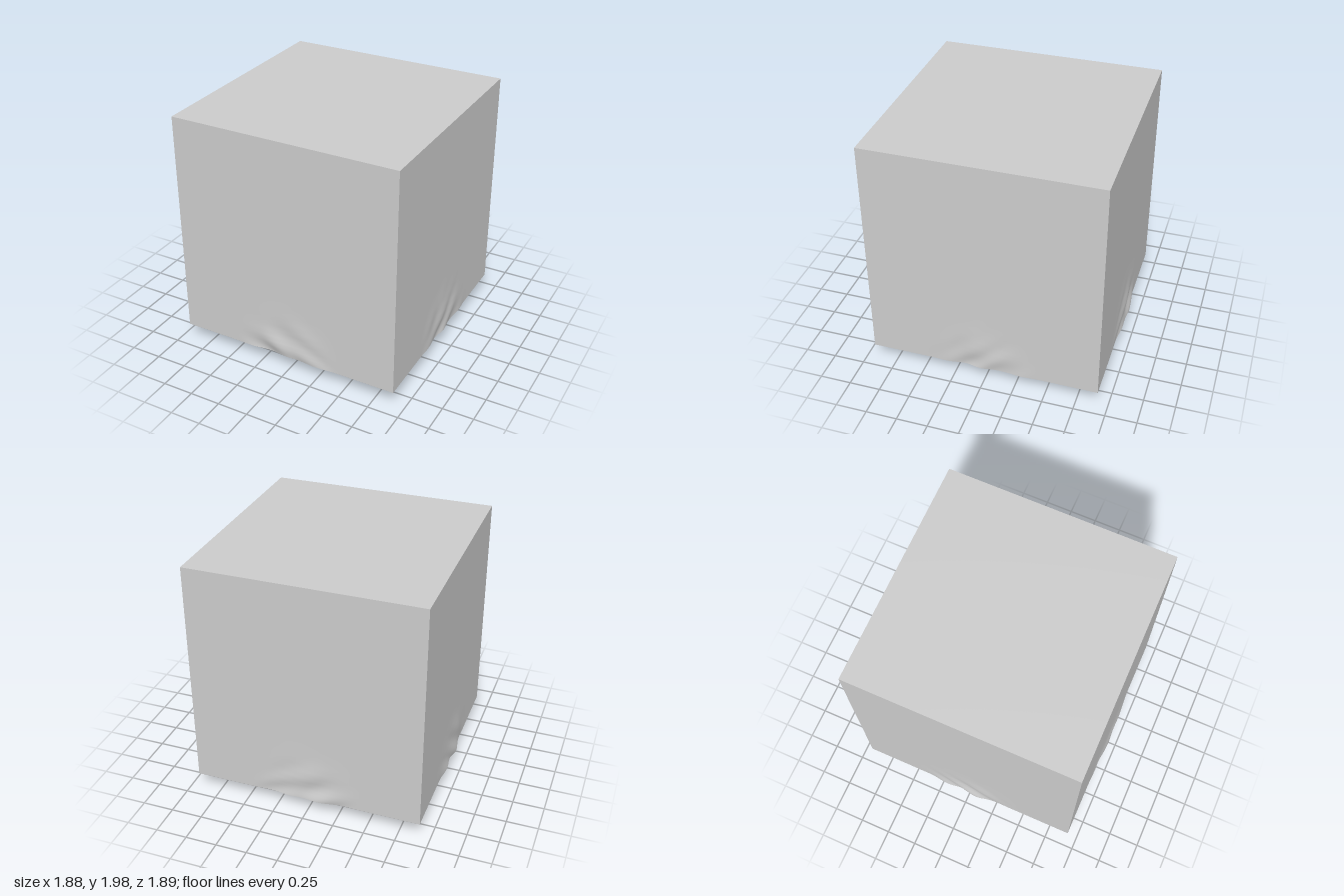
import * as THREE from 'three';

const SIDE = 1.84, HALF = SIDE / 2, BASE = 0.16;

// Hanging lumps on the underside: x, z, depth, radius
const LUMPS = [
  [-0.38, 0.12, 0.25, 0.10], [0.13, -0.21, 0.20, 0.13], [-0.05, 0.13, 0.16, 0.10],
  [-0.30, -0.50, 0.13, 0.11], [0.28, -0.62, 0.13, 0.10], [-0.72, -0.35, 0.09, 0.10],
  [-0.60, 0.08, 0.11, 0.09], [0.38, 0.33, 0.14, 0.11], [0.47, -0.16, 0.13, 0.10],
  [-0.10, 0.60, 0.14, 0.11], [-0.58, 0.58, 0.07, 0.11], [0.12, 0.36, 0.13, 0.09],
  [-0.18, -0.20, 0.13, 0.09], [0.65, 0.10, 0.08, 0.10], [0.30, 0.05, 0.10, 0.09],
];

// Smooth ripples between the lumps
function ripple(x, z) {
  return 0.5 * Math.sin(13 * x + 2 * Math.sin(7 * z)) * Math.cos(12 * z - 1.5 * Math.sin(6 * x))
    + 0.3 * Math.sin(19 * z + 8 * x + 1);
}

// Positive values hang down, negative ones are hollows
function relief(x, z) {
  let d = -0.055 + 0.06 * ripple(x, z);
  for (const [lx, lz, depth, r] of LUMPS) {
    d += depth * Math.exp(-((x - lx) ** 2 + (z - lz) ** 2) / (r * r));
  }
  return 0.16 * Math.tanh(d / 0.14);
}

export function createModel() {
  const group = new THREE.Group();
  const geometry = new THREE.BoxGeometry(SIDE, SIDE, SIDE, 110, 24, 110);
  const pos = geometry.attributes.position;
  const p = new THREE.Vector3();

  for (let i = 0; i < pos.count; i++) {
    p.fromBufferAttribute(pos, i);
    // Rows gather near the bottom, where the relief is
    const t = (p.y + HALF) / SIDE;
    const h = SIDE * t * t;
    // Relief fades out over a sphere around the centre of the underside
    const dist = Math.hypot(p.x, h, p.z);
    const fade = 1 - THREE.MathUtils.smoothstep(dist, 0.45, 1.04);
    const { x, z } = p;
    const down = fade * relief(x, z);
    const lean = fade * 0.035;
    const edge = Math.max(Math.abs(x), Math.abs(z)) > HALF - 1e-4;
    const swell = edge ? 0.2 * fade * (0.5 + ripple(x + h, z + h)) : 0;
    const isX = Math.abs(x) > Math.abs(z);
    pos.setXYZ(
      i,
      x + (edge ? (isX ? Math.sign(x) * swell : 0) : lean * Math.sin(9 * z + 4 * x)),
      BASE + h - (h < 1.2 ? down : 0),
      z + (edge ? (isX ? 0 : Math.sign(z) * swell) : lean * Math.sin(10 * x - 3 * z)),
    );
  }
  geometry.computeVertexNormals();

  const block = new THREE.Mesh(geometry, new THREE.MeshStandardMaterial({ color: 0xcccccc }));
  block.name = 'blockWithRuggedUnderside';
  group.add(block);
  return group;
}
